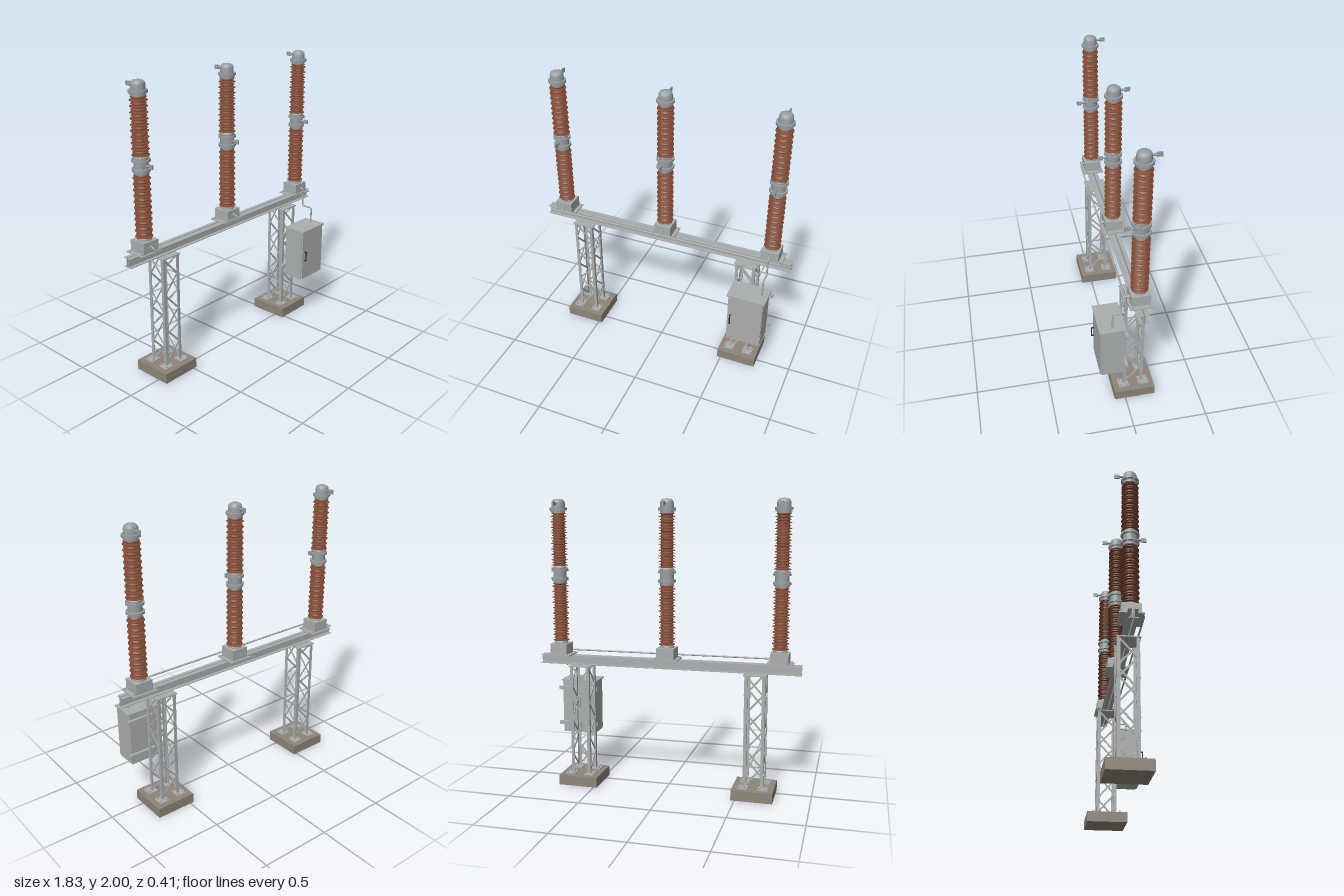
import * as THREE from 'three';
import { toCreasedNormals } from 'three/addons/utils/BufferGeometryUtils.js';

const mat = (name, color) => {
  const m = new THREE.MeshStandardMaterial({ color });
  m.name = name;
  return m;
};
const ZC = -0.065; // centre line of the beam, towers and poles

export function createModel() {
  const steel = mat('galvanised steel', 0xabaeae);
  const fitting = mat('cast fitting grey', 0x989fa2);
  const porcelain = mat('brown porcelain', 0x7d4833);
  const concrete = mat('concrete', 0x8d8578);
  const dark = mat('dark handle', 0x2a2b2d);

  const add = (parent, name, geo, material, x = 0, y = 0, z = 0) => {
    const m = new THREE.Mesh(geo, material);
    m.name = name;
    m.position.set(x, y, z);
    parent.add(m);
    return m;
  };
  const box = (parent, name, material, w, h, d, x, y, z) =>
    add(parent, name, new THREE.BoxGeometry(w, h, d), material, x, y, z);
  const cyl = (parent, name, material, r, h, x, y, z, sides = 12) =>
    add(parent, name, new THREE.CylinderGeometry(r, r, h, sides), material, x, y, z);
  const lathe = (parent, name, material, pts) =>
    add(parent, name, toCreasedNormals(
      new THREE.LatheGeometry(pts.map(p => new THREE.Vector2(p[0], p[1])), 28), 0.6), material);
  const group = (parent, name, x = 0, y = 0, z = 0) => {
    const g = new THREE.Group();
    g.name = name;
    g.position.set(x, y, z);
    parent.add(g);
    return g;
  };

  const model = new THREE.Group();
  model.name = 'switchgear';

  // Lattice towers on concrete footings
  function tower(x) {
    const t = group(model, 'tower', x, 0, ZC);
    box(t, 'footing', concrete, 0.28, 0.07, 0.28, 0, 0.035, 0);
    box(t, 'topPlate', steel, 0.155, 0.008, 0.155, 0, 0.848, 0);
    for (const sx of [-1, 1]) for (const sz of [-1, 1]) {
      box(t, 'basePlate', steel, 0.07, 0.008, 0.07, sx * 0.069, 0.074, sz * 0.069);
      // angle-section leg
      box(t, 'legFlange', steel, 0.022, 0.77, 0.004, sx * 0.059, 0.46, sz * 0.068);
      box(t, 'legFlange', steel, 0.004, 0.77, 0.022, sx * 0.068, 0.46, sz * 0.059);
      for (const [bx, bz] of [[0.092, 0.092], [0.092, 0.046], [0.046, 0.092]])
        cyl(t, 'anchorBolt', steel, 0.006, 0.014, sx * bx, 0.083, sz * bz, 6);
    }
    // zigzag bracing, repeated on four faces
    const n = 6, y0 = 0.09, dy = 0.125, half = 0.056;
    for (let f = 0; f < 4; f++) {
      const face = group(t, 'bracing');
      face.rotation.y = f * Math.PI / 2;
      for (let i = 0; i < n; i++) {
        const s = i % 2 ? 1 : -1;
        const bar = box(face, 'brace', steel, Math.hypot(2 * half, dy), 0.012, 0.004,
          0, y0 + (i + 0.5) * dy, 0.064);
        bar.rotation.z = s * Math.atan2(dy, 2 * half) * -1;
      }
      for (let i = 0; i <= n; i++) {
        const b = cyl(face, 'bolt', steel, 0.005, 0.006, (i % 2 ? 1 : -1) * -half * -1, y0 + i * dy, 0.071, 6);
        b.rotation.x = Math.PI / 2;
      }
    }
  }
  tower(-0.615);
  tower(0.615);

  // Two back-to-back channels
  const beam = group(model, 'beam', 0, 0.885, ZC);
  for (const s of [-1, 1]) {
    box(beam, 'channelWeb', steel, 1.83, 0.064, 0.005, 0, 0, s * 0.0065);
    for (const v of [-1, 1])
      box(beam, 'channelFlange', steel, 1.83, 0.005, 0.027, 0, v * 0.0295, s * 0.0175);
  }

  // Sheds of one insulator section, alternating wide and narrow
  function sheds(parent, y0, y1, count) {
    const pts = [[0.039, y0]], p = (y1 - y0) / count;
    for (let i = 0; i < count; i++) {
      const y = y0 + i * p, r = i % 2 ? 0.049 : 0.056;
      pts.push([0.039, y + p * 0.2], [r, y + p * 0.28], [r, y + p * 0.42], [0.039, y + p * 0.85]);
    }
    pts.push([0.039, y1]);
    lathe(parent, 'insulatorSheds', porcelain, pts);
  }

  // Flat terminal pointing along z
  function terminal(parent, y, s) {
    const stub = cyl(parent, 'terminalStub', fitting, 0.007, 0.05, 0, y, s * 0.06);
    stub.rotation.x = Math.PI / 2;
    box(parent, 'terminalPad', fitting, 0.01, 0.028, 0.035, 0, y, s * 0.086);
  }

  // Breaker poles
  for (const x of [-0.77, 0, 0.77]) {
    const pole = group(model, 'pole', x, 0, ZC);
    box(pole, 'mountingPlate', steel, 0.175, 0.008, 0.15, 0, 0.921, 0);
    box(pole, 'mechanismBox', steel, 0.122, 0.075, 0.122, 0, 0.9625, 0);
    for (const sx of [-1, 1]) for (const sz of [-1, 1])
      cyl(pole, 'plateBolt', steel, 0.006, 0.01, sx * 0.074, 0.929, sz * 0.055, 6);
    lathe(pole, 'bottomCollar', fitting,
      [[0, 1], [0.047, 1], [0.047, 1.008], [0.041, 1.018], [0, 1.018]]);
    sheds(pole, 1.016, 1.432, 22);
    lathe(pole, 'middleCollar', fitting, [
      [0, 1.428], [0.046, 1.428], [0.046, 1.448], [0.059, 1.448], [0.059, 1.463], [0.046, 1.463],
      [0.046, 1.506], [0.059, 1.506], [0.059, 1.521], [0.046, 1.521], [0.046, 1.534], [0.04, 1.542], [0, 1.542]]);
    sheds(pole, 1.54, 1.91, 20);
    lathe(pole, 'topCap', fitting, [
      [0, 1.905], [0.046, 1.905], [0.046, 1.924], [0.059, 1.924], [0.059, 1.94], [0.045, 1.94],
      [0.045, 1.972], [0.042, 1.984], [0.036, 1.992], [0.027, 1.997], [0, 2]]);
    // flange bolts
    for (const y of [1.443, 1.526, 1.919]) for (let i = 0; i < 8; i++) {
      const a = (i + 0.5) * Math.PI / 4;
      cyl(pole, 'flangeBolt', fitting, 0.004, 0.01, 0.052 * Math.cos(a), y, 0.052 * Math.sin(a), 6);
    }
    terminal(pole, 1.966, -1);
    terminal(pole, 1.485, 1);
    const gland = cyl(pole, 'cableGland', steel, 0.012, 0.012, 0, 0.962, 0.066, 16);
    gland.rotation.x = Math.PI / 2;
  }

  // Conduit with a branch to each pole and a drop to the cabinet
  const pipe = (name, pts) => {
    const path = new THREE.CurvePath();
    const v = pts.map(p => new THREE.Vector3(...p));
    let from = v[0];
    for (let i = 1; i < v.length - 1; i++) { // rounded corners
      const a = v[i].clone().add(v[i - 1].clone().sub(v[i]).setLength(0.01));
      const b = v[i].clone().add(v[i + 1].clone().sub(v[i]).setLength(0.01));
      path.add(new THREE.LineCurve3(from, a));
      path.add(new THREE.QuadraticBezierCurve3(a, v[i], b));
      from = b;
    }
    path.add(new THREE.LineCurve3(from, v[v.length - 1]));
    add(model, name, new THREE.TubeGeometry(path, 80, 0.006, 10), steel);
  };
  pipe('conduitRun', [[-0.77, 0.962, -0.005], [-0.77, 0.962, 0.018], [-0.77, 0.94, 0.018], [0.77, 0.94, 0.018]]);
  pipe('conduitBranch', [[0, 0.962, -0.005], [0, 0.962, 0.018], [0, 0.94, 0.018]]);
  pipe('conduitDrop', [[0.77, 0.962, -0.005], [0.77, 0.962, 0.018], [0.77, 0.828, 0.018],
    [0.77, 0.828, 0.1], [0.77, 0.71, 0.1]]);

  // Control cabinet hung on the right-hand tower
  const cab = group(model, 'cabinet', 0.6825, 0, 0);
  box(cab, 'cabinetBody', steel, 0.244, 0.38, 0.148, 0, 0.515, 0.1);
  box(cab, 'cabinetDoor', steel, 0.24, 0.372, 0.01, 0, 0.515, 0.181);
  box(cab, 'doorSeam', dark, 0.234, 0.366, 0.004, 0, 0.515, 0.175);
  box(cab, 'cabinetRoof', steel, 0.266, 0.009, 0.174, 0, 0.709, 0.105);
  for (const y of [0.395, 0.655])
    box(cab, 'mountingRail', steel, 0.29, 0.024, 0.021, 0, y, 0.0155);
  box(cab, 'handleGrip', dark, 0.007, 0.075, 0.005, -0.098, 0.513, 0.2025);
  for (const y of [0.479, 0.547])
    box(cab, 'handlePost', dark, 0.007, 0.007, 0.018, -0.098, y, 0.194);

  return model;
}
